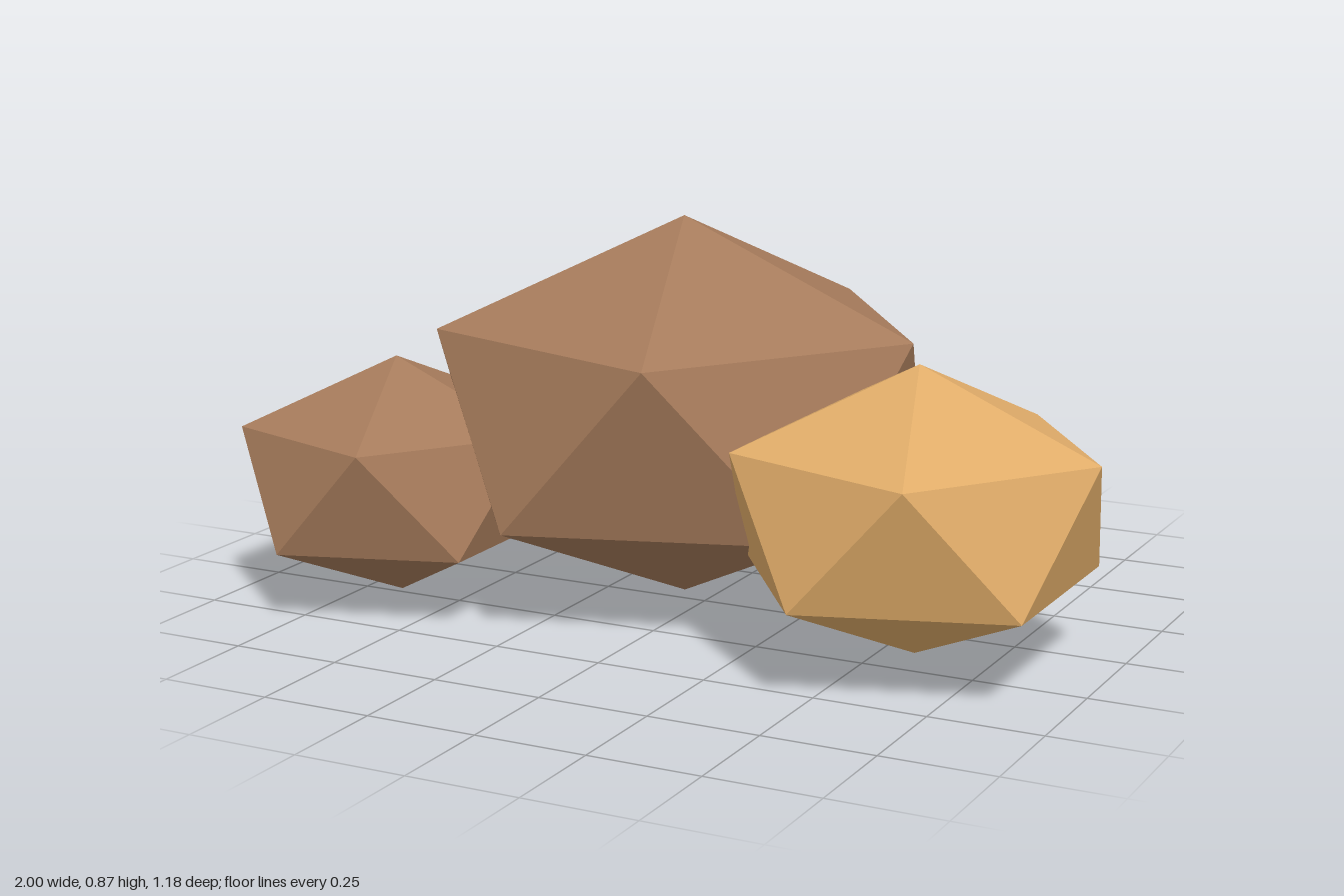
import * as THREE from 'three';

// Squashed icosahedron with one corner pointing straight up
function rock(name, material, radius, x, y, z) {
  const geometry = new THREE.IcosahedronGeometry(radius, 0);
  const golden = (1 + Math.sqrt(5)) / 2;
  geometry.rotateZ(-Math.atan(1 / golden));
  geometry.scale(1, 0.7, 1);
  geometry.computeVertexNormals();
  const mesh = new THREE.Mesh(geometry, material);
  mesh.name = name;
  mesh.position.set(x, y, z);
  return mesh;
}

export function createModel() {
  const brown = new THREE.MeshStandardMaterial({ color: 0xa67b5b, flatShading: true });
  brown.name = 'brown stone';
  const sand = new THREE.MeshStandardMaterial({ color: 0xe0ac69, flatShading: true });
  sand.name = 'sand stone';

  const group = new THREE.Group();
  group.name = 'rockCluster';
  group.add(
    rock('largeRock', brown, 0.624, -0.08, 0.437, -0.058),
    rock('leftRock', sand, 0.446, 0.601, 0.337, 0.205),
    rock('rightRock', brown, 0.391, -0.65, 0.284, 0.255)
  );
  return group;
}
